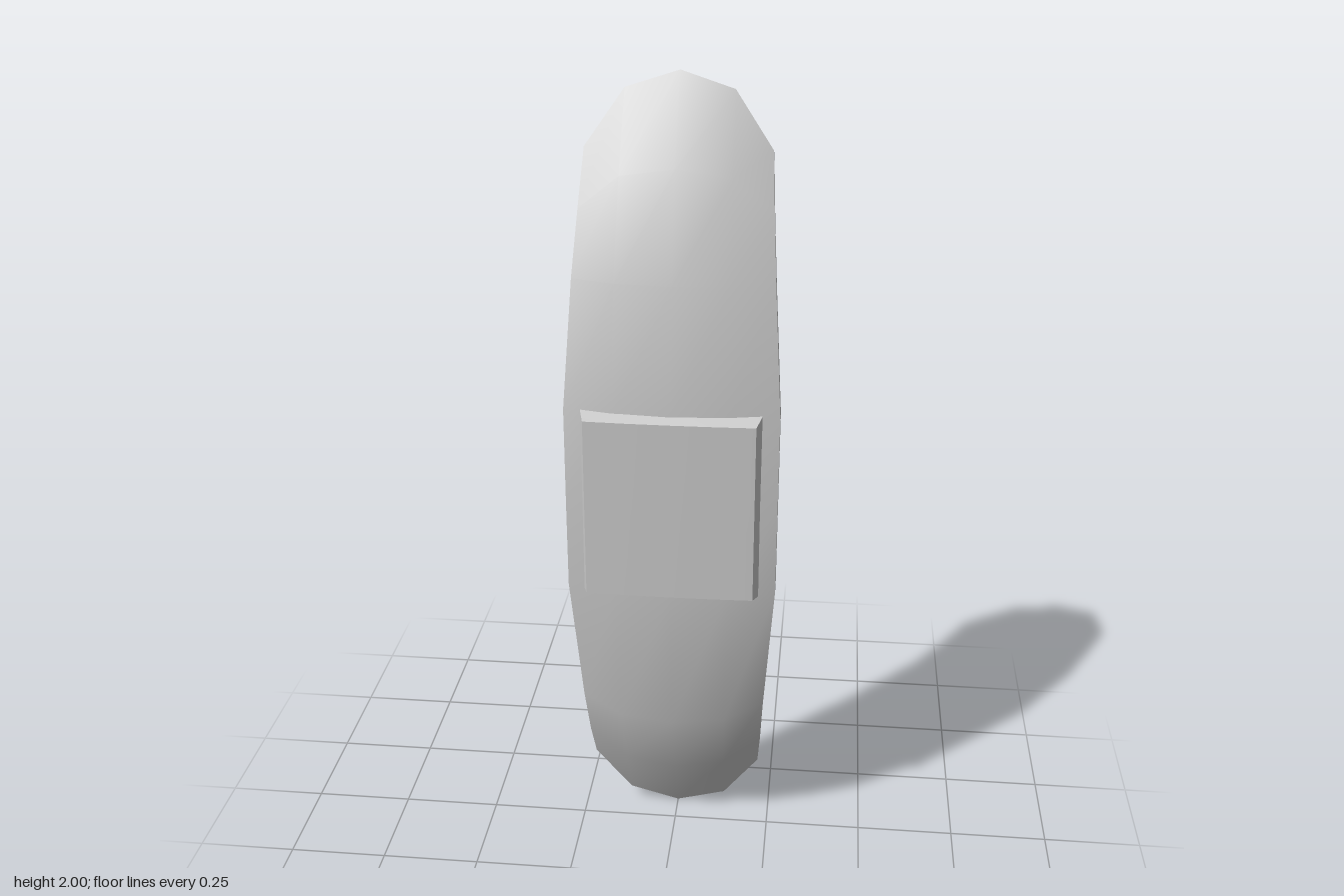
import * as THREE from 'three';
import { toCreasedNormals } from 'three/addons/utils/BufferGeometryUtils.js';

const material = new THREE.MeshStandardMaterial({ color: 0xcccccc });

// Closed slab between two matching grids of points (rows go up, columns go to +x)
function slab(name, front, back) {
  const rows = front.length, cols = front[0].length;
  const positions = [], index = [];
  for (const grid of [front, back]) for (const row of grid) for (const p of row) positions.push(...p);
  const id = (r, c) => r * cols + c;
  const off = rows * cols;
  for (let r = 0; r < rows - 1; r++) {
    for (let c = 0; c < cols - 1; c++) {
      const a = id(r, c), b = id(r, c + 1), d = id(r + 1, c), e = id(r + 1, c + 1);
      index.push(a, b, e, a, e, d);
      index.push(off + a, off + e, off + b, off + a, off + d, off + e);
    }
  }
  // Rim joining the two faces
  const rim = [];
  for (let c = 0; c < cols - 1; c++) rim.push(id(0, c));
  for (let r = 0; r < rows - 1; r++) rim.push(id(r, cols - 1));
  for (let c = cols - 1; c > 0; c--) rim.push(id(rows - 1, c));
  for (let r = rows - 1; r > 0; r--) rim.push(id(r, 0));
  rim.forEach((p, i) => {
    const q = rim[(i + 1) % rim.length];
    index.push(p, off + p, off + q, p, off + q, q);
  });
  const geometry = new THREE.BufferGeometry();
  geometry.setAttribute('position', new THREE.Float32BufferAttribute(positions, 3));
  geometry.setIndex(index);
  const mesh = new THREE.Mesh(toCreasedNormals(geometry, 0.75), material);
  mesh.name = name;
  return mesh;
}

// Mirrors a half row [centre, middle, edge] to both sides
const mirrorRow = (half) => [
  ...half.slice(1).reverse().map(([x, y, z]) => [-x, y, z]),
  ...half,
];

function createStrip() {
  // Half rows from bottom tip to top tip: centre, middle, edge
  const halves = [
    [[0, 0.005, -0.08], [0.128, 0.045, -0.073], [0.22, 0.18, -0.04]],
    [[0, 0.18, 0.015], [0.13, 0.2, 0.008], [0.227, 0.28, 0.005]],
    [[0, 0.37, 0.09], [0.135, 0.38, 0.08], [0.234, 0.42, 0.052]],
    [[0, 0.77, 0.125], [0.14, 0.77, 0.117], [0.258, 0.77, 0.098]],
    [[0, 1.005, 0.127], [0.14, 1.005, 0.119], [0.258, 1.005, 0.1]],
    [[0, 1.24, 0.125], [0.14, 1.24, 0.117], [0.258, 1.24, 0.098]],
    [[0, 1.55, 0.095], [0.135, 1.55, 0.084], [0.238, 1.55, 0.052]],
    [[0, 1.8, 0.01], [0.13, 1.78, 0.002], [0.228, 1.7, -0.006]],
    [[0, 2.0, -0.115], [0.128, 1.96, -0.107], [0.22, 1.83, -0.07]],
  ];
  // Offset each row backwards, square to the bend
  const thickness = 0.035;
  const backs = halves.map((half, i) => {
    const a = halves[Math.max(i - 1, 0)][0];
    const b = halves[Math.min(i + 1, halves.length - 1)][0];
    const dy = b[1] - a[1], dz = b[2] - a[2], len = Math.hypot(dy, dz);
    return half.map(([x, y, z]) => [x, y + (dz / len) * thickness, z - (dy / len) * thickness]);
  });
  return slab('strip', halves.map(mirrorRow), backs.map(mirrorRow));
}

function createPad() {
  // Slightly bowed face on a wider base sunk into the strip
  const layer = (w, low, high, zCentre, zEdge) =>
    [low, (low + high) / 2, high].map((y) =>
      mirrorRow([[0, y, zCentre], [w / 2, y, (zCentre * 3 + zEdge) / 4], [w, y, zEdge]]));
  return slab('pad', layer(0.205, 0.775, 1.232, 0.153, 0.149), layer(0.218, 0.763, 1.245, 0.112, 0.1));
}

export function createModel() {
  const group = new THREE.Group();
  group.name = 'curvedPaddedStrip';
  group.add(createStrip(), createPad());
  return group;
}
